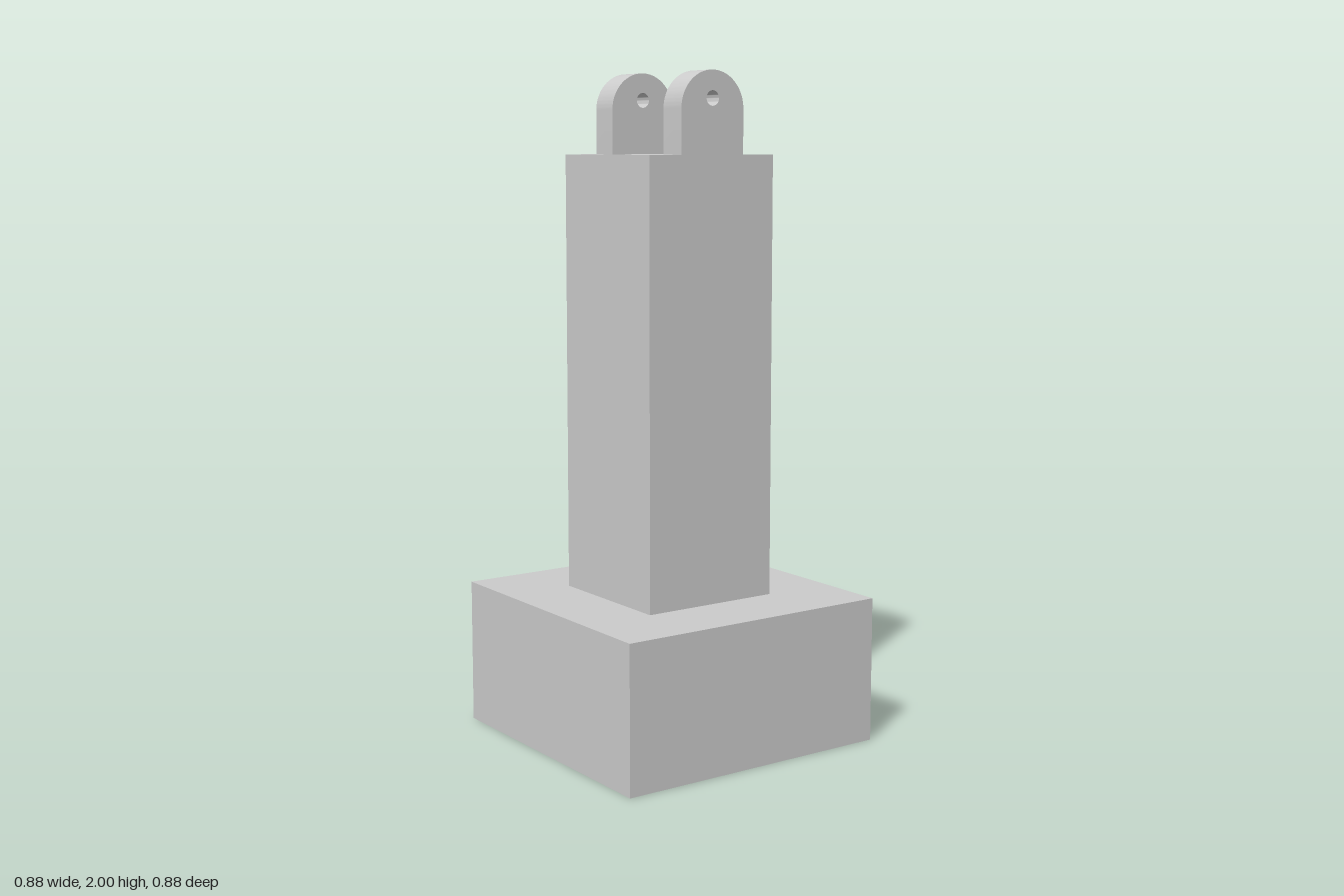
import * as THREE from 'three';
import { toCreasedNormals } from 'three/addons/utils/BufferGeometryUtils.js';

const BASE_WIDTH = 0.88, BASE_TOP = 0.44;
const COLUMN_WIDTH = 0.44, COLUMN_TOP = 1.76;
const LUG_RADIUS = 0.11, LUG_DEPTH = 0.088, LUG_CENTRE = 1.89;
const HOLE_RADIUS = 0.022, HOLE_CENTRE = 1.92;

const material = new THREE.MeshStandardMaterial({ color: 0xcccccc });

// Square block standing between two heights
function block(name, width, bottom, top) {
  const mesh = new THREE.Mesh(new THREE.BoxGeometry(width, top - bottom, width), material);
  mesh.name = name;
  mesh.position.y = (bottom + top) / 2;
  return mesh;
}

// Round-topped plate with a pin hole
function lugGeometry() {
  const shape = new THREE.Shape();
  shape.moveTo(-LUG_RADIUS, COLUMN_TOP);
  shape.lineTo(LUG_RADIUS, COLUMN_TOP);
  shape.absarc(0, LUG_CENTRE, LUG_RADIUS, 0, Math.PI, false);
  const hole = new THREE.Path();
  hole.absarc(0, HOLE_CENTRE, HOLE_RADIUS, 0, Math.PI * 2, true);
  shape.holes.push(hole);
  const geometry = new THREE.ExtrudeGeometry(shape, {
    depth: LUG_DEPTH, bevelEnabled: false, curveSegments: 32,
  });
  geometry.translate(0, 0, -LUG_DEPTH / 2);
  return toCreasedNormals(geometry, Math.PI / 6);
}

export function createModel() {
  const model = new THREE.Group();
  model.name = 'clevisPost';

  model.add(block('base', BASE_WIDTH, 0, BASE_TOP));
  model.add(block('column', COLUMN_WIDTH, BASE_TOP, COLUMN_TOP));

  // Pair of lugs flush with the column's front and back
  const geometry = lugGeometry();
  for (const side of [1, -1]) {
    const lug = new THREE.Mesh(geometry, material);
    lug.name = side > 0 ? 'frontLug' : 'backLug';
    lug.position.z = side * (COLUMN_WIDTH - LUG_DEPTH) / 2;
    model.add(lug);
  }
  return model;
}
